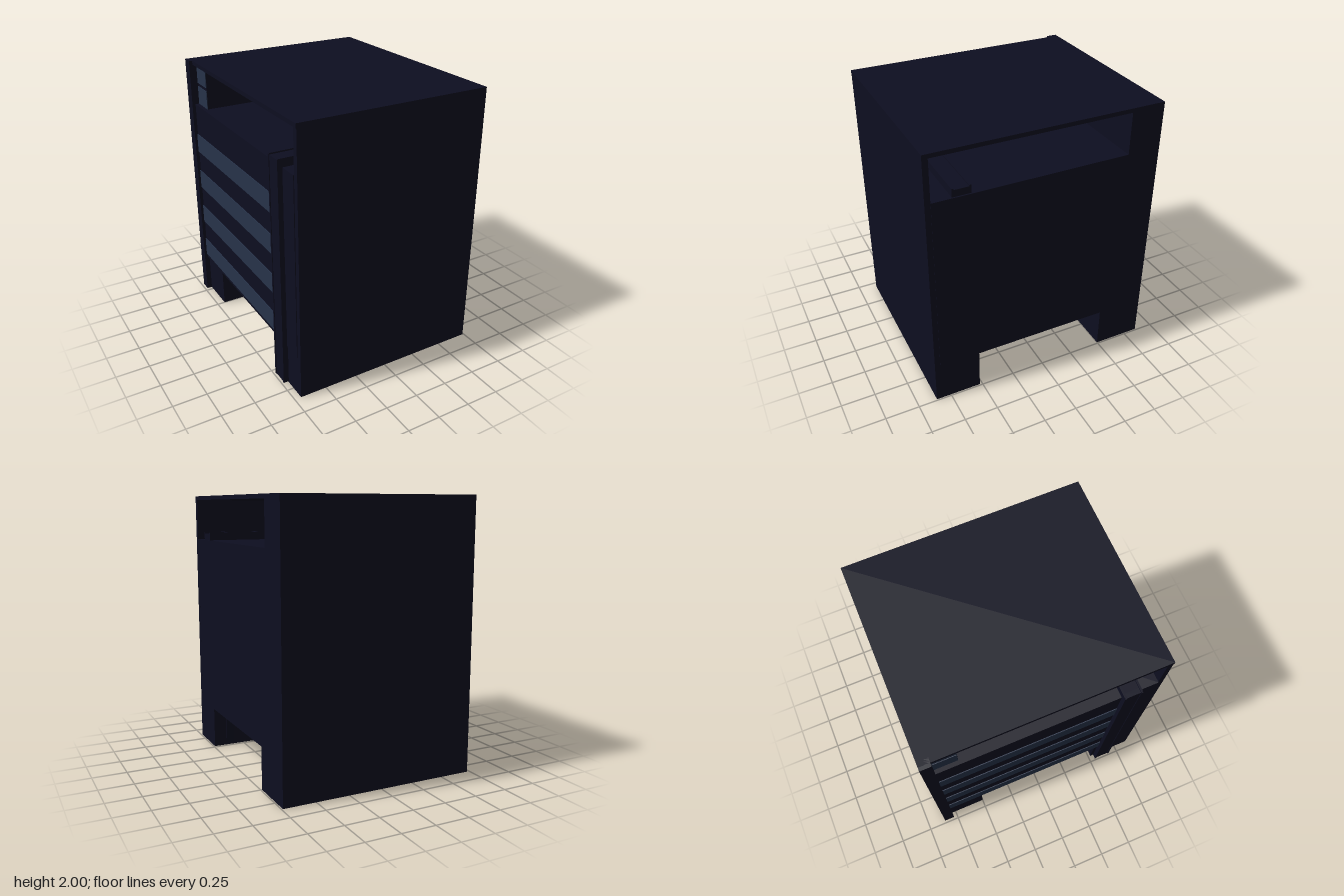
import * as THREE from 'three';

export function createModel() {
  const group = new THREE.Group();
  const navy = new THREE.MeshStandardMaterial({ color: 0x0d0e20 });
  navy.name = 'dark navy';
  const slate = new THREE.MeshStandardMaterial({ color: 0x27334a });
  slate.name = 'slate blue';

  // Box given by its limits on each axis
  function box(name, [x0, x1], [y0, y1], [z0, z1], material = navy) {
    const mesh = new THREE.Mesh(new THREE.BoxGeometry(x1 - x0, y1 - y0, z1 - z0), material);
    mesh.position.set((x0 + x1) / 2, (y0 + y1) / 2, (z0 + z1) / 2);
    mesh.name = name;
    group.add(mesh);
    return mesh;
  }

  // Cabinet shell
  box('frontPanel', [-0.7, 0.74], [0, 1.97], [0.82, 0.86]);
  box('backBlock', [-0.67, 0.74], [0, 1.97], [-0.86, -0.61]);
  box('backFlange', [-0.73, -0.67], [0, 2], [-0.86, -0.78]);
  box('roof', [-0.705, 0.74], [1.97, 2], [-0.86, 0.86]);
  box('core', [-0.705, 0.74], [0.31, 1.66], [-0.78, 0.819]);

  // Feet on both sides of the lower passage
  box('frontFoot', [-0.7, 0.74], [0, 0.31], [0.52, 0.82]);
  box('backFoot', [-0.69, 0.74], [0, 0.31], [-0.78, -0.5]);

  // Pale bands across the open side
  for (let i = 0; i < 4; i++) {
    const y = 0.34 + i * 0.31;
    box('sideBand', [-0.711, -0.704], [y, y + 0.148], [-0.78, 0.55], slate);
  }

  // Pale plates beside the upper opening
  for (const y of [1.66, 1.825]) {
    box('upperPlate', [-0.675, -0.668], [y, y + 0.14], [-0.78, -0.612], slate);
  }

  // Channel that runs over the core and down the side
  box('channelSide', [-0.735, -0.7], [0.01, 1.71], [0.55, 0.675]);
  box('channelTop', [-0.735, 0.73], [1.655, 1.71], [0.55, 0.675]);
  for (const z of [0.545, 0.663]) {
    box('channelSideLip', [-0.74, -0.7], [0.01, 1.715], [z, z + 0.014]);
    box('channelTopLip', [-0.735, 0.73], [1.655, 1.72], [z, z + 0.014]);
  }

  // Curved ribs under the core, against the front foot
  const profile = new THREE.Shape();
  profile.moveTo(-0.525, 0.02);
  profile.lineTo(-0.512, 0.02);
  profile.lineTo(-0.508, 0.2);
  profile.quadraticCurveTo(-0.5, 0.3, -0.42, 0.304);
  profile.lineTo(-0.35, 0.306);
  profile.lineTo(-0.35, 0.315);
  profile.lineTo(-0.525, 0.315);
  const ribGeometry = new THREE.ExtrudeGeometry(profile, { depth: 0.06, bevelEnabled: false, curveSegments: 8 });
  ribGeometry.rotateY(Math.PI / 2);
  for (let i = 0; i < 6; i++) {
    const rib = new THREE.Mesh(ribGeometry, navy);
    rib.position.x = -0.62 + i * 0.24;
    rib.name = 'rib';
    group.add(rib);
  }

  return group;
}
